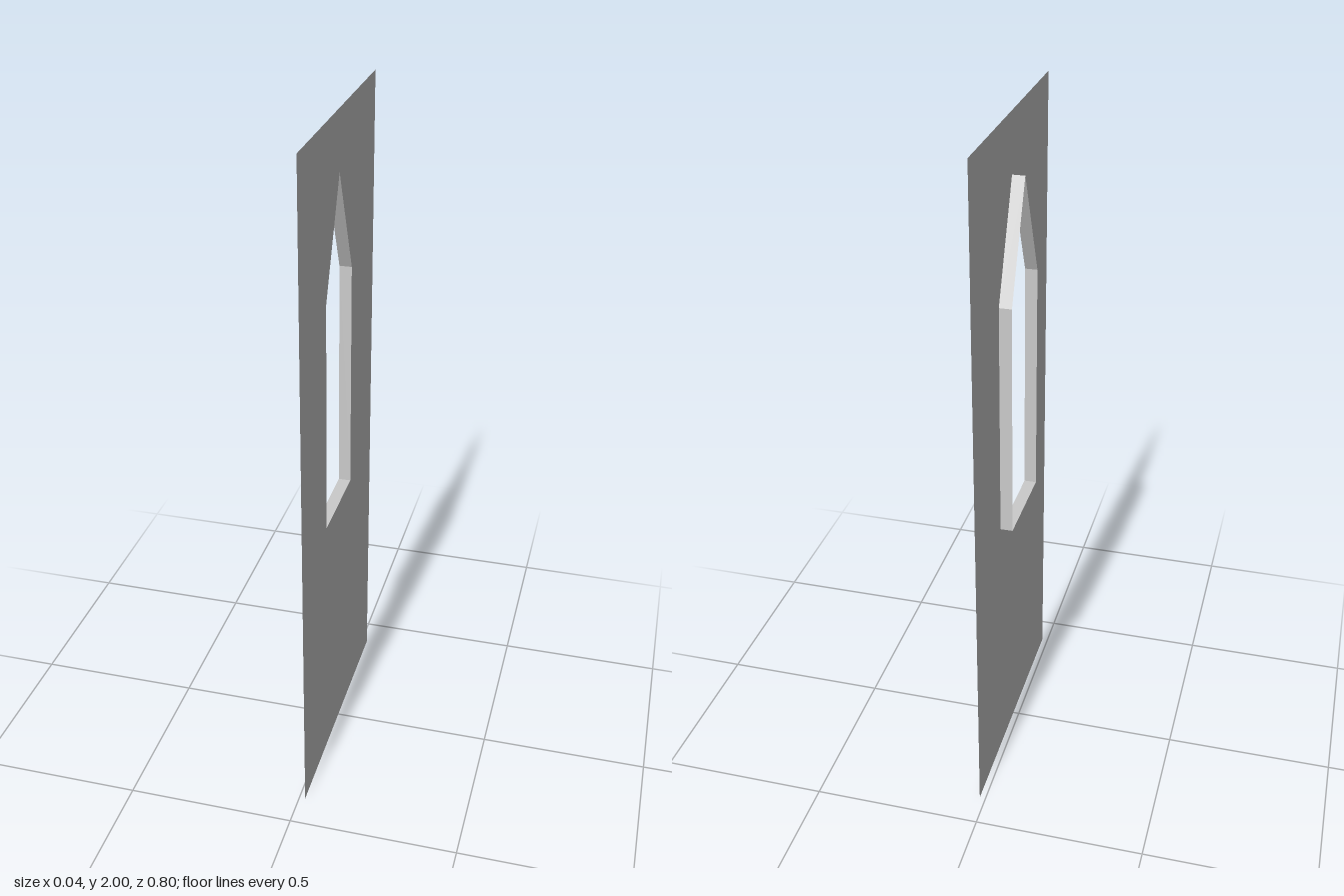
import * as THREE from 'three';

const HALF_DEPTH = 0.018;
const HALF_WIDTH = 0.4;
const HEIGHT = 2;

// Pointed window outline, counter-clockwise, in the plane of the wall
const OPENING = [[-0.14, 0.81], [0.14, 0.81], [0.14, 1.51], [0, 1.83], [-0.14, 1.51]]
  .map(([x, y]) => new THREE.Vector2(x, y));

// Open band of flat quads that follows an outline from z = front to z = back, facing inward
function bandGeometry(outline, front, back) {
  const positions = [];
  outline.forEach((a, i) => {
    const b = outline[(i + 1) % outline.length];
    positions.push(
      a.x, a.y, front, b.x, b.y, back, a.x, a.y, back,
      a.x, a.y, front, b.x, b.y, front, b.x, b.y, back
    );
  });
  const geometry = new THREE.BufferGeometry();
  geometry.setAttribute('position', new THREE.Float32BufferAttribute(positions, 3));
  geometry.computeVertexNormals();
  return geometry;
}

export function createModel() {
  const model = new THREE.Group();
  model.name = 'windowWall';
  const material = new THREE.MeshStandardMaterial({
    color: 0xcccccc, flatShading: true, side: THREE.DoubleSide
  });

  // Thin wall sheet with the window cut out
  const wall = new THREE.Shape([
    new THREE.Vector2(-HALF_WIDTH, 0), new THREE.Vector2(HALF_WIDTH, 0),
    new THREE.Vector2(HALF_WIDTH, HEIGHT), new THREE.Vector2(-HALF_WIDTH, HEIGHT)
  ]);
  wall.holes.push(new THREE.Path([...OPENING].reverse()));
  const wallPanel = new THREE.Mesh(new THREE.ShapeGeometry(wall), material);
  wallPanel.name = 'wallPanel';
  wallPanel.position.z = HALF_DEPTH;

  // Sill, jambs and pointed head projecting behind the sheet
  const windowReveal = new THREE.Mesh(bandGeometry(OPENING, HALF_DEPTH, -HALF_DEPTH), material);
  windowReveal.name = 'windowReveal';

  // Turn the sheet to face +x
  const panelGroup = new THREE.Group();
  panelGroup.name = 'wallWithWindow';
  panelGroup.add(wallPanel, windowReveal);
  panelGroup.rotation.y = Math.PI / 2;
  model.add(panelGroup);
  return model;
}
